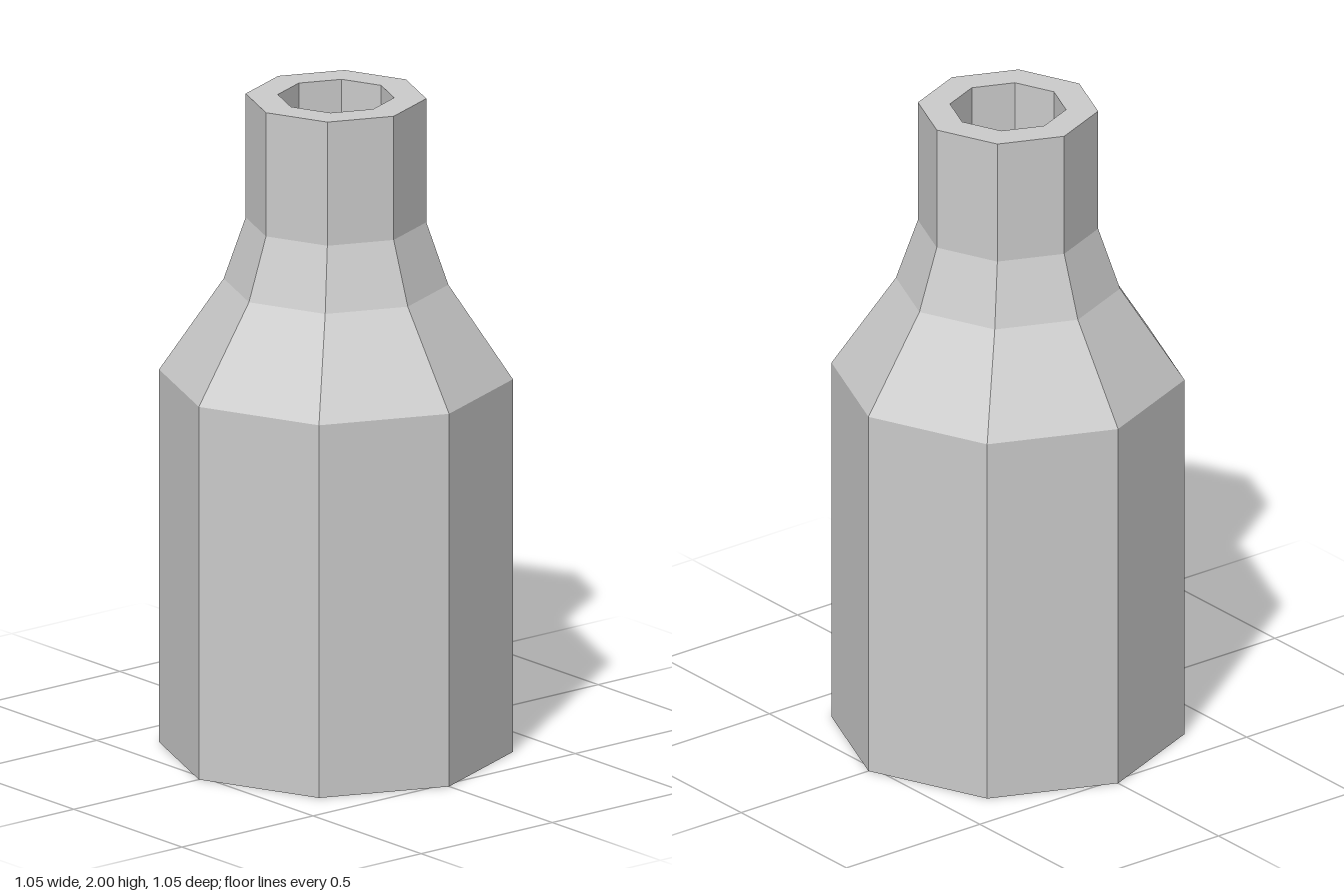
import * as THREE from 'three';

const SIDES = 8;

export function createModel() {
  const group = new THREE.Group();
  group.name = 'bottle';
  const material = new THREE.MeshStandardMaterial({ color: 0xcccccc, flatShading: true });

  // Turn a [radius, height] profile into a faceted eight-sided part
  const addTurned = (name, profile) => {
    const points = profile.map(([r, y]) => new THREE.Vector2(r, y));
    const mesh = new THREE.Mesh(new THREE.LatheGeometry(points, SIDES), material);
    mesh.name = name;
    group.add(mesh);
  };

  // Closed base and straight wall
  addTurned('body', [[0, 0], [0.523, 0], [0.523, 1.145]]);
  // Two-step taper up to the neck
  addTurned('shoulder', [[0.523, 1.145], [0.332, 1.43], [0.267, 1.62]]);
  // Neck wall and flat rim
  addTurned('neck', [[0.267, 1.62], [0.267, 2], [0.172, 2]]);
  // Recessed mouth with a flat floor
  addTurned('mouth', [[0.172, 2], [0.172, 1.62], [0, 1.62]]);

  return group;
}
